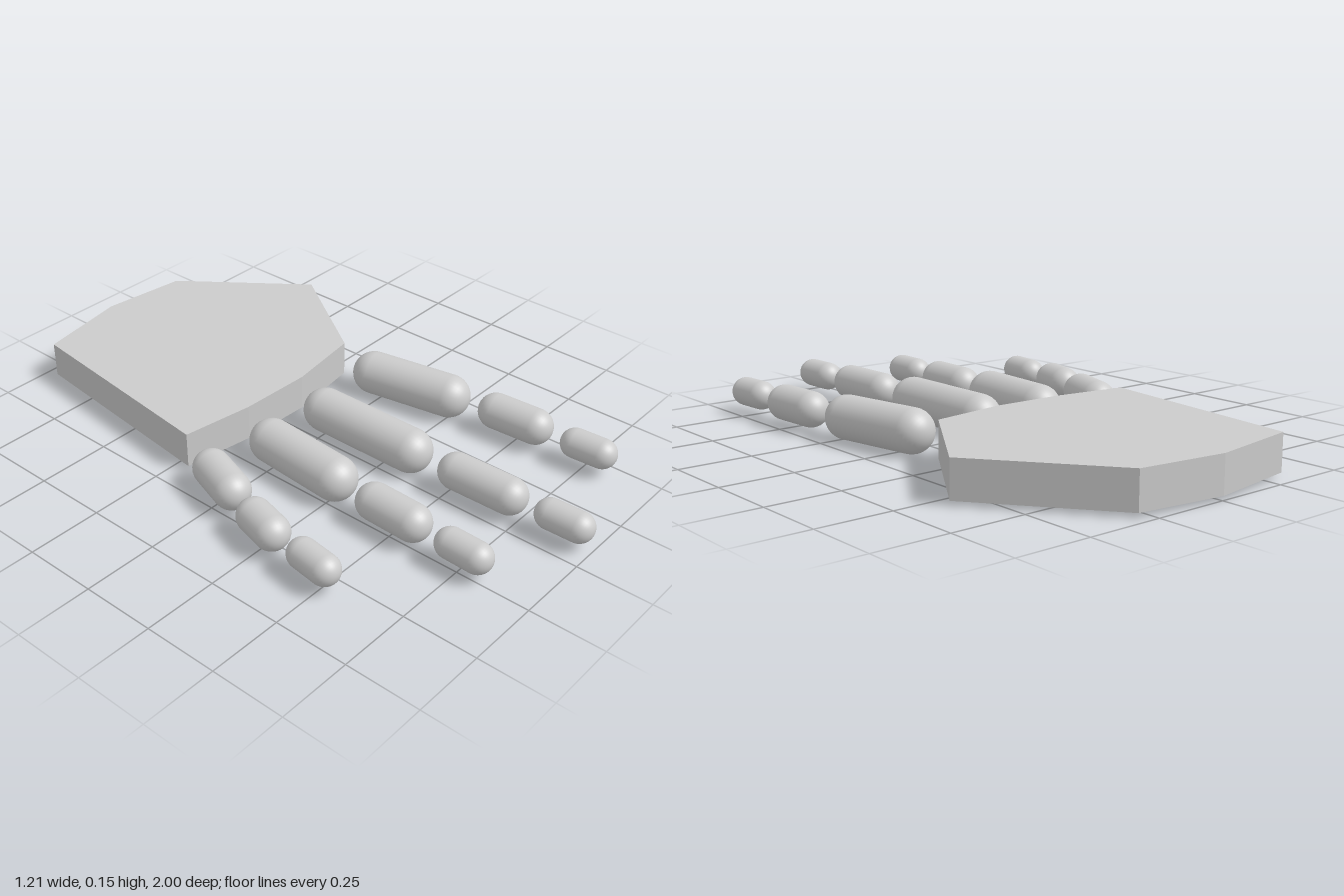
import * as THREE from 'three';

const material = new THREE.MeshStandardMaterial({ color: 0xcccccc });
const MID_Y = 0.076;
const UP = new THREE.Vector3(0, 1, 0);

// Each bone: start x, start z, end x, end z, radius (knuckle to tip)
const FINGERS = {
  littleFinger: [
    [-0.419, -0.074, -0.463, 0.054, 0.062],
    [-0.508, 0.193, -0.532, 0.283, 0.058],
    [-0.545, 0.417, -0.558, 0.51, 0.05],
  ],
  ringFinger: [
    [-0.187, -0.032, -0.208, 0.25, 0.074],
    [-0.22, 0.419, -0.225, 0.567, 0.061],
    [-0.229, 0.709, -0.232, 0.806, 0.05],
  ],
  middleFinger: [
    [0.063, -0.02, 0.063, 0.335, 0.074],
    [0.068, 0.514, 0.071, 0.708, 0.061],
    [0.077, 0.852, 0.079, 0.95, 0.05],
  ],
  indexFinger: [
    [0.351, -0.045, 0.4, 0.238, 0.074],
    [0.429, 0.412, 0.437, 0.56, 0.061],
    [0.442, 0.711, 0.447, 0.806, 0.05],
  ],
};

// Capsule laid between two points at mid height
function bone(name, [x0, z0, x1, z1, radius]) {
  const start = new THREE.Vector3(x0, MID_Y, z0);
  const end = new THREE.Vector3(x1, MID_Y, z1);
  const axis = end.clone().sub(start);
  const mesh = new THREE.Mesh(new THREE.CapsuleGeometry(radius, axis.length(), 10, 32), material);
  mesh.position.copy(start).add(end).multiplyScalar(0.5);
  mesh.quaternion.setFromUnitVectors(UP, axis.normalize());
  mesh.name = name;
  return mesh;
}

// Flat slab with an eight-sided outline, given as x, z
function palm() {
  const outline = [
    [-0.405, -0.198], [-0.16, -0.16], [0.09, -0.15], [0.355, -0.185],
    [0.603, -0.557], [0.29, -0.963], [-0.005, -1], [-0.32, -0.947],
  ];
  const shape = new THREE.Shape(outline.map(([x, z]) => new THREE.Vector2(x, -z)));
  const geometry = new THREE.ExtrudeGeometry(shape, { depth: 0.122, bevelEnabled: false });
  geometry.rotateX(-Math.PI / 2);
  const mesh = new THREE.Mesh(geometry, material);
  mesh.position.y = MID_Y - 0.061;
  mesh.name = 'palm';
  return mesh;
}

export function createModel() {
  const hand = new THREE.Group();
  hand.name = 'hand';
  hand.add(palm());
  const segments = ['lowerSegment', 'middleSegment', 'tipSegment'];
  for (const [name, bones] of Object.entries(FINGERS)) {
    const finger = new THREE.Group();
    finger.name = name;
    bones.forEach((b, i) => finger.add(bone(segments[i], b)));
    hand.add(finger);
  }
  return hand;
}
